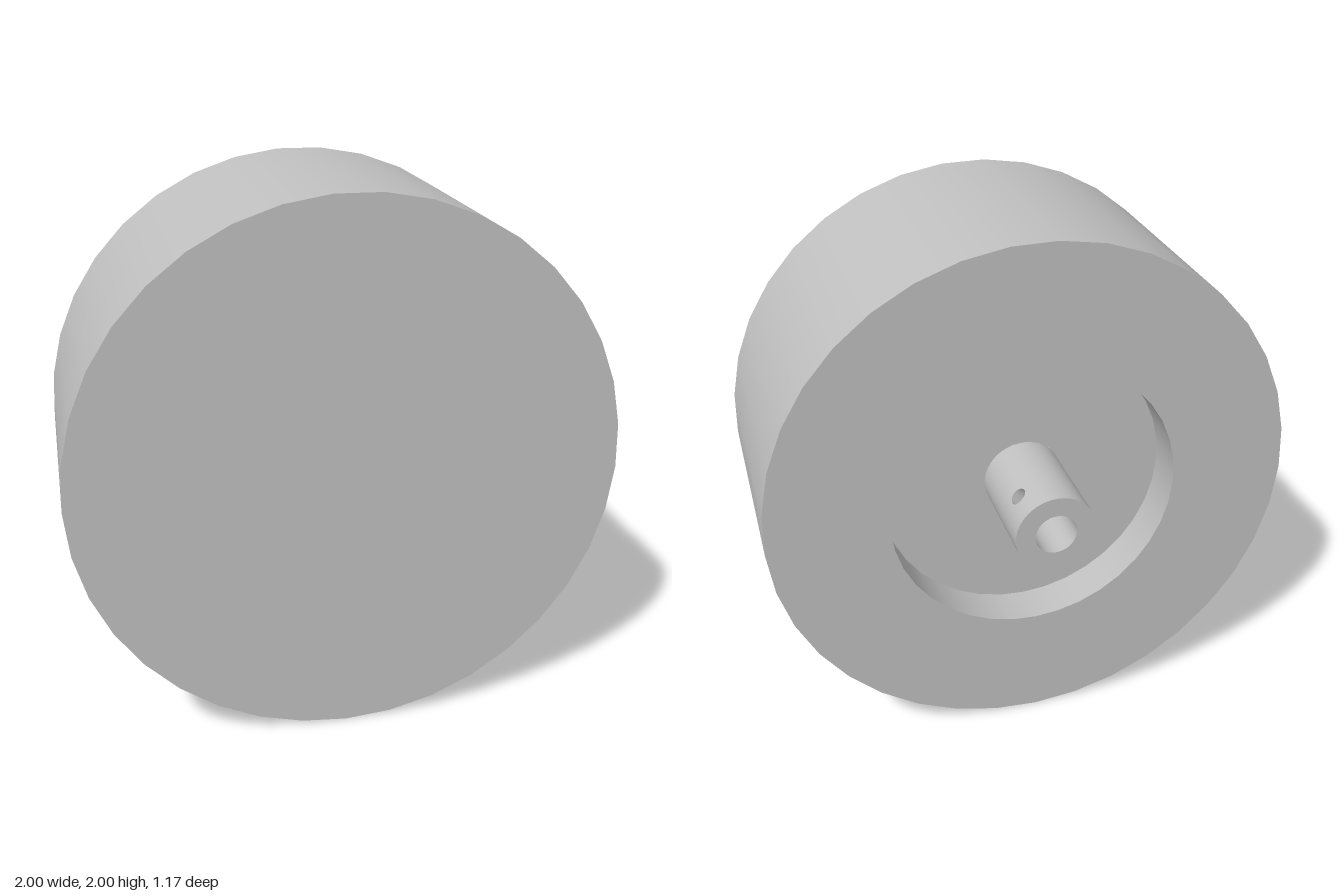
import * as THREE from 'three';

const FRONT = 0.585, BACK = -0.345, FLOOR = -0.18, TIP = -0.585;
const R = 1, RECESS = 0.55, SHAFT = 0.15, BORE = 0.077;
const HOLE = { r: 0.032, z: -0.465, angle: Math.PI / 4, half: 0.4 };

export function createModel() {
  const model = new THREE.Group();
  const metal = new THREE.MeshStandardMaterial({ color: 0xc0c0c0 });
  metal.name = 'grey metal';

  const add = (name, geometry, parent) => {
    const mesh = new THREE.Mesh(geometry, metal);
    mesh.name = name;
    parent.add(mesh);
  };

  // One turned surface about z between two (radius, z) points; facing follows their order
  const turned = (a, b, segments, spin = 0, start = 0, length = Math.PI * 2) =>
    new THREE.LatheGeometry([new THREE.Vector2(...a), new THREE.Vector2(...b)], segments, start, length)
      .rotateX(Math.PI / 2).rotateZ(spin);

  // Drum with a round recess in its back
  const drum = new THREE.Group();
  drum.name = 'drum';
  const spin = THREE.MathUtils.degToRad(86.9);
  const faces = {
    drumFront: [[R, FRONT], [0, FRONT]],
    drumRim: [[R, BACK], [R, FRONT]],
    drumBack: [[RECESS, BACK], [R, BACK]],
    recessWall: [[RECESS, FLOOR], [RECESS, BACK]],
    recessFloor: [[SHAFT, FLOOR], [RECESS, FLOOR]],
  };
  for (const [name, [a, b]] of Object.entries(faces)) add(name, turned(a, b, 37, spin), drum);

  // Hollow shaft: walls leave a gap for the panel that carries the screw hole
  const shaft = new THREE.Group();
  shaft.name = 'shaft';
  const start = HOLE.angle + Math.PI / 2 + HOLE.half;
  const sweep = Math.PI * 2 - 2 * HOLE.half;
  add('shaftWall', turned([SHAFT, TIP], [SHAFT, FLOOR], 36, 0, start, sweep), shaft);
  add('boreWall', turned([BORE, FLOOR], [BORE, TIP], 36, 0, start, sweep), shaft);
  add('shaftTip', turned([BORE, TIP], [SHAFT, TIP], 40), shaft);
  add('boreFloor', turned([0, FLOOR], [BORE, FLOOR], 40), shaft);

  // Panels around the screw hole, and the tunnel between them
  add('holePanelOuter', holePanel(SHAFT, 1), shaft);
  add('holePanelInner', holePanel(BORE, -1), shaft);
  add('holeTunnel', tunnel(), shaft);

  model.add(drum, shaft);
  model.position.y = 1;
  return model;
}

const STEPS = 32;

// Point on the screw hole's edge where it meets a wall of the given radius
function holeEdge(k, radius) {
  const a = (k / STEPS) * Math.PI * 2;
  return [Math.asin((HOLE.r * Math.cos(a)) / radius), HOLE.z + HOLE.r * Math.sin(a)];
}

// Point on the panel's rectangular border in the same direction
function border(k) {
  const a = (k / STEPS) * Math.PI * 2;
  const c = Math.cos(a), s = Math.sin(a), m = Math.max(Math.abs(c), Math.abs(s));
  const v = s / m;
  return [(c / m) * HOLE.half, HOLE.z + (v > 0 ? v * (FLOOR - HOLE.z) : v * (HOLE.z - TIP))];
}

// Grid of rows x (STEPS + 1) points, with normals
function grid(rows, point, flip) {
  const pos = [], nor = [], index = [];
  for (let j = 0; j < rows; j++) {
    for (let k = 0; k <= STEPS; k++) {
      const [p, n] = point(j / (rows - 1), k);
      pos.push(...p);
      nor.push(...n);
      if (j === rows - 1 || k === STEPS) continue;
      const a = j * (STEPS + 1) + k, b = a + 1, c = a + STEPS + 1, d = c + 1;
      if (flip) index.push(a, b, c, b, d, c);
      else index.push(a, c, b, b, c, d);
    }
  }
  const g = new THREE.BufferGeometry();
  g.setAttribute('position', new THREE.Float32BufferAttribute(pos, 3));
  g.setAttribute('normal', new THREE.Float32BufferAttribute(nor, 3));
  g.setIndex(index);
  return g;
}

// Curved panel from hole edge to border; side 1 faces outward, -1 inward
function holePanel(radius, side) {
  return grid(5, (t, k) => {
    const e = holeEdge(k, radius), b = border(k);
    const th = HOLE.angle + e[0] + (b[0] - e[0]) * t;
    const z = e[1] + (b[1] - e[1]) * t;
    const c = Math.cos(th), s = Math.sin(th);
    return [[radius * c, radius * s, z], [side * c, side * s, 0]];
  }, side < 0);
}

// Side of the screw hole, facing its own axis
function tunnel() {
  return grid(2, (t, k) => {
    const radius = t ? SHAFT : BORE;
    const [off, z] = holeEdge(k, radius);
    const th = HOLE.angle + off, a = (k / STEPS) * Math.PI * 2;
    const n = [Math.sin(HOLE.angle) * Math.cos(a), -Math.cos(HOLE.angle) * Math.cos(a), -Math.sin(a)];
    return [[radius * Math.cos(th), radius * Math.sin(th), z], n];
  }, false);
}
